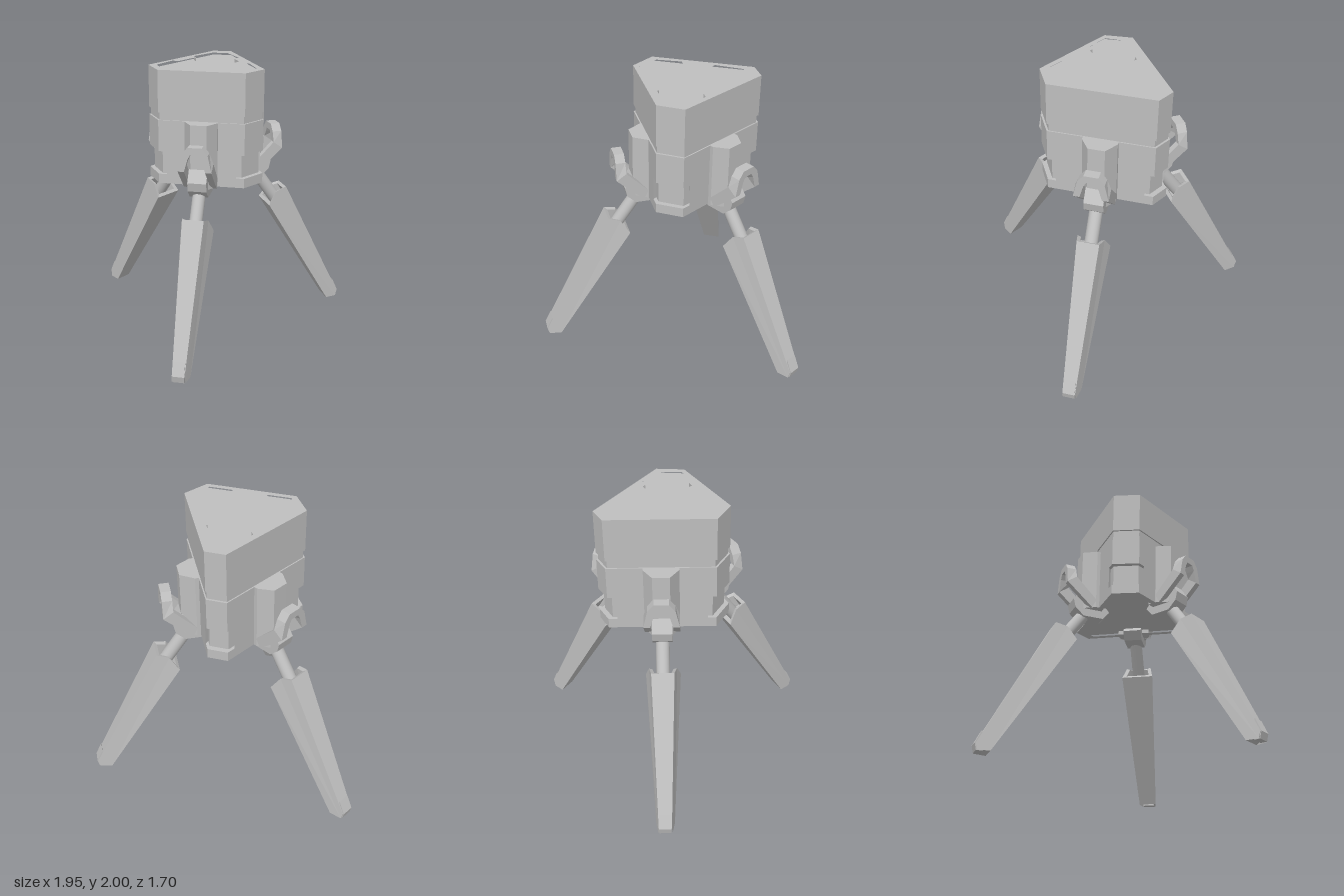
import * as THREE from 'three';

const grey = new THREE.MeshStandardMaterial({ color: 0xbebebe });
grey.name = 'grey metal';

function part(name, geometry) {
  const mesh = new THREE.Mesh(geometry, grey);
  mesh.name = name;
  return mesh;
}

// Faceted solid through rings of [x, y, z] points, closed by a convex cap at each end
function loft(rings) {
  const n = rings[0].length;
  let tris = [];
  for (let r = 0; r + 1 < rings.length; r++) {
    const a = rings[r], b = rings[r + 1];
    for (let i = 0; i < n; i++) {
      const j = (i + 1) % n;
      tris.push([a[i], a[j], b[j]], [a[i], b[j], b[i]]);
    }
  }
  const first = rings[0], last = rings[rings.length - 1];
  for (let i = 1; i + 1 < n; i++) {
    tris.push([first[0], first[i + 1], first[i]], [last[0], last[i], last[i + 1]]);
  }
  // Turn the corners outward if the enclosed volume comes out negative
  let volume = 0;
  const [a, b, c] = [0, 1, 2].map(() => new THREE.Vector3());
  for (const t of tris) volume += a.fromArray(t[0]).dot(b.fromArray(t[1]).cross(c.fromArray(t[2])));
  if (volume < 0) tris = tris.map(t => [t[0], t[2], t[1]]);
  const geometry = new THREE.BufferGeometry();
  geometry.setAttribute('position', new THREE.Float32BufferAttribute(tris.flat(2), 3));
  geometry.computeVertexNormals();
  return geometry;
}

// Upright prism over an [x, z] outline, optionally with a hole
function prism(outline, y0, y1, hole) {
  const points = list => list.map(([x, z]) => new THREE.Vector2(x, -z));
  const shape = new THREE.Shape(points(outline));
  if (hole) shape.holes.push(new THREE.Path(points(hole)));
  const geometry = new THREE.ExtrudeGeometry(shape, { depth: y1 - y0, bevelEnabled: false });
  return geometry.rotateX(-Math.PI / 2).translate(0, y0, 0);
}

// Slab across x from a convex [z, y] side profile
const slab = (profile, w) => loft([-w, w].map(x => profile.map(([z, y]) => [x, y, z])));

const mirrorOutline = half => [...half, ...half.map(([x, z]) => [-x, z]).reverse()];
const scaled = ([x, z], s) => [x * s, -0.27 + (z + 0.27) * s];

function createBody() {
  const body = new THREE.Group();
  body.name = 'body';
  const hex = mirrorOutline([[0.07, -0.75], [0.42, -0.105], [0.312, 0.06]]);
  const inner = hex.map(p => scaled(p, 0.97));

  // Middle band cut back around the three narrow corners
  const cut = [];
  hex.forEach((p, i) => {
    // Long sides run 0-1, 2-3 and 4-5, narrow ones lie between them
    const q = hex[i % 2 ? i - 1 : i + 1];
    const t = 0.06 / Math.hypot(q[0] - p[0], q[1] - p[1]);
    const e = [p[0] + (q[0] - p[0]) * t, p[1] + (q[1] - p[1]) * t];
    const run = [scaled(p, 0.925), scaled(e, 0.925), e];
    cut.push(...(i % 2 ? run.reverse() : run));
  });

  // Recess outline of the lid with a tab on each long side
  const recess = mirrorOutline([
    [0.058, -0.665], [0.17, -0.495], [0.145, -0.45], [0.235, -0.285], [0.285, -0.285],
    [0.362, -0.12], [0.285, 0.025], [0.125, 0.025], [0.11, -0.015],
  ]);

  body.add(
    part('bottomRim', prism(hex, 1.17, 1.2, hex.map(p => scaled(p, 0.88)))),
    part('lowerBand', prism(hex, 1.2, 1.24)),
    part('notchedBand', prism(cut, 1.24, 1.41)),
    part('lowerHousing', prism(hex, 1.41, 1.64)),
    part('groove', prism(inner, 1.64, 1.695)),
    part('upperHousing', prism(hex, 1.695, 1.97)),
    part('lidRim', prism(hex, 1.97, 2, recess)),
  );
  return body;
}

function createLegAssembly() {
  const leg = new THREE.Group();

  // Rib on the wall and the bracket below it
  leg.add(part('wallRib', prism(mirrorOutline([[0.12, 0], [0.12, 0.065], [0.058, 0.16]]), 1.17, 1.64)));
  leg.add(part('bracket', slab([
    [0.22, 1.235], [0.205, 1.17], [0.14, 1.11], [-0.01, 1.11], [-0.06, 1.17], [0.05, 1.32], [0.16, 1.32],
  ], 0.068)));

  // Bent arch: outer x, inner x, then front and back [outer y, inner y, z]
  const half = [
    [0.12, 0.075, [1.165, 1.165, 0.095], [1.23, 1.23, 0.06]],
    [0.12, 0.075, [1.34, 1.34, 0.29], [1.39, 1.39, 0.22]],
    [0.092, 0.05, [1.465, 1.43, 0.29], [1.465, 1.43, 0.22]],
    [0.05, 0.03, [1.515, 1.465, 0.29], [1.515, 1.465, 0.22]],
  ];
  const archRing = (s, [xo, xi, f, b]) => [
    [s * xo, f[0], f[2]], [s * xo, b[0], b[2]], [s * xi, b[1], b[2]], [s * xi, f[1], f[2]],
  ];
  leg.add(part('arch', loft([
    ...half.map(n => archRing(1, n)),
    ...half.slice().reverse().map(n => archRing(-1, n)),
  ])));

  // Round strut between bracket and leg
  const top = new THREE.Vector3(0, 1.17, 0.1), end = new THREE.Vector3(0, 0.82, 0.345);
  const axis = end.clone().sub(top);
  const strut = part('strut', new THREE.CylinderGeometry(0.047, 0.047, axis.length(), 20));
  strut.position.copy(top).add(end).multiplyScalar(0.5);
  strut.quaternion.setFromUnitVectors(new THREE.Vector3(0, 1, 0), axis.normalize());
  leg.add(strut);

  // Tapered leg with a sunken pocket at its upper end
  const ring = rows => [
    ...rows.map(([w, y, z]) => [w, y, z]),
    ...rows.slice().reverse().map(([w, y, z]) => [-w, y, z]),
  ];
  const upper = ring([[0.078, 1.01, 0.35], [0.095, 0.985, 0.265], [0.12, 0.885, 0.2]]);
  const lower = ring([[0.045, 0.05, 0.843], [0.05, 0, 0.832], [0.065, 0, 0.746]]);
  const mouth = upper.map(([x, y, z]) => [x * 0.74, 0.955 + (y - 0.955) * 0.74, 0.272 + (z - 0.272) * 0.74]);
  const floor = mouth.map(([x, y, z]) => [x * 0.9, y - 0.09, z + 0.052]);
  leg.add(part('lowerLeg', loft([floor, mouth, upper, lower])));
  leg.add(part('foot', slab([[0.805, 0.145], [0.85, 0.05], [0.838, 0], [0.79, 0]], 0.042)));
  return leg;
}

export function createModel() {
  const model = new THREE.Group();
  model.name = 'tripodDevice';
  model.add(createBody());

  // One leg at the middle of each long side: x, z and outward direction
  const mounts = [
    ['frontLeg', 0, 0.06, 0],
    ['backLeftLeg', 0.262, -0.438, Math.atan2(0.878, -0.479)],
    ['backRightLeg', -0.262, -0.438, -Math.atan2(0.878, -0.479)],
  ];
  for (const [name, x, z, turn] of mounts) {
    const leg = createLegAssembly();
    leg.name = name;
    leg.position.set(x, 0, z);
    leg.rotation.y = turn;
    leg.translateZ(-0.06);
    model.add(leg);
  }
  return model;
}
